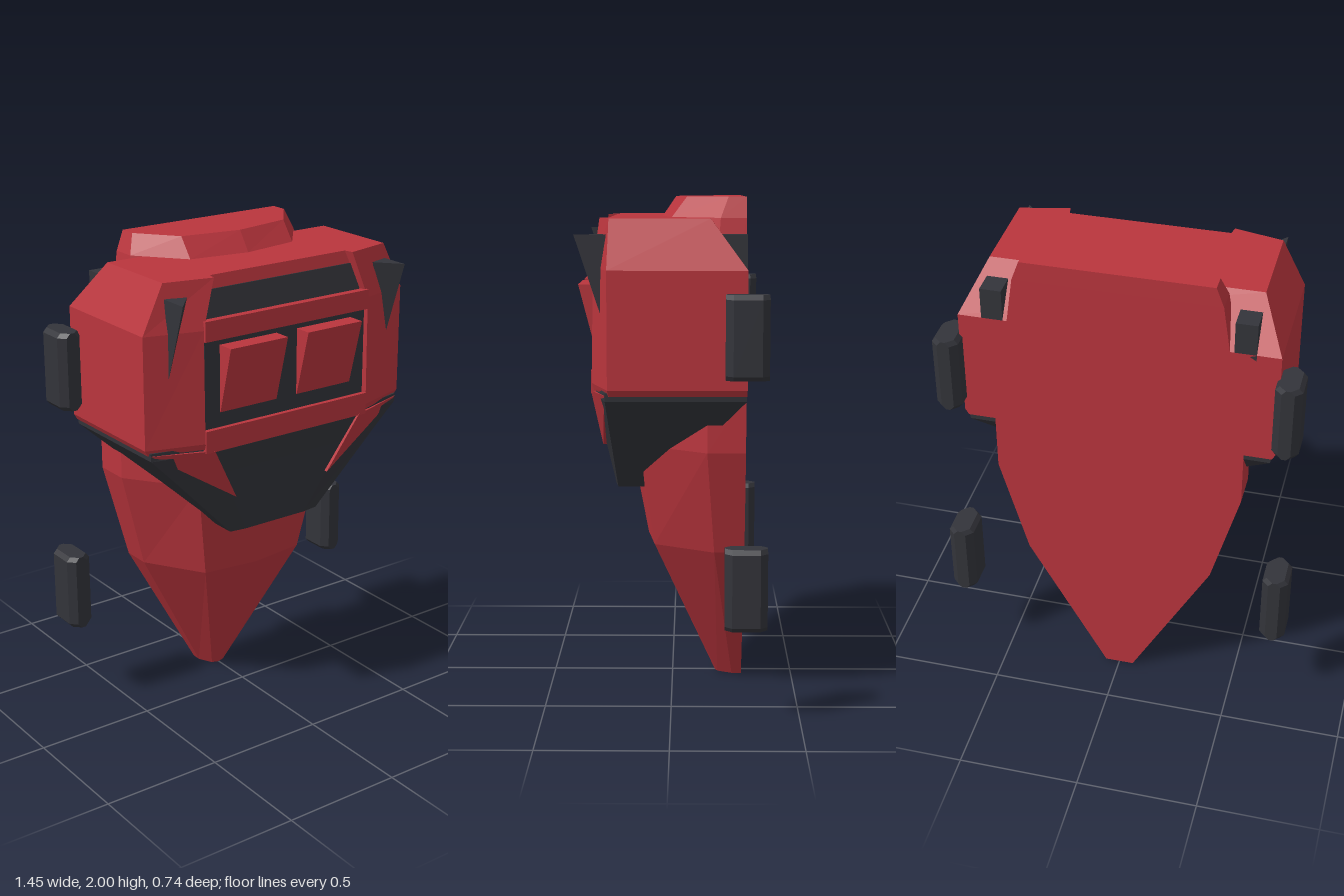
import * as THREE from 'three';

const red = new THREE.MeshStandardMaterial({ color: 0xba353d, flatShading: true });
red.name = 'red shell';
const dark = new THREE.MeshStandardMaterial({ color: 0x33343a, flatShading: true });
dark.name = 'dark grey';

// Solid through horizontal sections { y, pts: [[x, z], ...] }, closed by caps.
// Points run from back +x to the front and round to -x.
function loft(sections) {
  const pos = [];
  const put = (s, i) => pos.push(s.pts[i][0], s.y, s.pts[i][1]);
  const n = sections[0].pts.length;
  for (let k = 0; k < sections.length - 1; k++) {
    const lo = sections[k], hi = sections[k + 1];
    for (let i = 0; i < n; i++) {
      const j = (i + 1) % n;
      put(lo, i); put(hi, i); put(lo, j);
      put(lo, j); put(hi, i); put(hi, j);
    }
  }
  const cap = (s, up) => {
    const contour = s.pts.map(([x, z]) => new THREE.Vector2(x, z));
    for (const [a, b, c] of THREE.ShapeUtils.triangulateShape(contour, [])) {
      const [p, q, r] = [s.pts[a], s.pts[b], s.pts[c]];
      const ny = (q[1] - p[1]) * (r[0] - p[0]) - (q[0] - p[0]) * (r[1] - p[1]);
      const order = (ny > 0) === up ? [a, b, c] : [a, c, b];
      order.forEach((i) => put(s, i));
    }
  };
  cap(sections[0], false);
  cap(sections[sections.length - 1], true);
  const g = new THREE.BufferGeometry();
  g.setAttribute('position', new THREE.Float32BufferAttribute(pos, 3));
  g.computeVertexNormals();
  return g;
}

// Section mirrored in x from its +x half; a point at x = 0 is used once
function mirrored(y, half) {
  const other = half.filter((p) => p[0] > 0).map(([x, z]) => [-x, z]).reverse();
  return { y, pts: [...half, ...other] };
}

// Rectangular section
const rect = (y, x0, x1, z0, z1) => ({ y, pts: [[x1, z0], [x1, z1], [x0, z1], [x0, z0]] });

// Convex prism between a front triangle and the same triangle pushed back
function wedge(front, depth) {
  const back = front.map(([x, y, z]) => [x, y, z - depth]);
  const [a, b, c] = front, [d, e, f] = back;
  const tris = [a, b, c, d, f, e, a, d, b, b, d, e, b, e, c, c, e, f, c, f, a, a, f, d];
  return solid(tris);
}

function solid(corners) {
  const g = new THREE.BufferGeometry();
  g.setAttribute('position', new THREE.Float32BufferAttribute(corners.flat(), 3));
  g.computeVertexNormals();
  return g;
}

export function createModel() {
  const model = new THREE.Group();
  const add = (name, geometry, material) => {
    const mesh = new THREE.Mesh(geometry, material);
    mesh.name = name;
    model.add(mesh);
    return mesh;
  };
  const box = (name, x0, x1, y0, y1, z0, z1, material) =>
    add(name, new THREE.BoxGeometry(x1 - x0, y1 - y0, z1 - z0), material)
      .position.set((x0 + x1) / 2, (y0 + y1) / 2, (z0 + z1) / 2);

  // Tapered spine: y, outer x, its z, inner x, its z, ridge z
  const spine = [
    [0, 0.06, -0.25, 0.03, -0.19, -0.18],
    [0.6, 0.39, -0.17, 0.24, 0.07, 0.1],
    [1.02, 0.505, -0.14, 0.31, 0.13, 0.18],
    [1.25, 0.505, -0.14, 0.31, 0.13, 0.18],
    [1.92, 0.405, -0.19, 0.25, 0.0, 0.04],
    [2, 0.375, -0.22, 0.25, -0.06, -0.015],
  ];
  add('spine', loft(spine.map(([y, w, z1, m, z2, z3]) =>
    mirrored(y, [[w, -0.29], [w, z1], [m, z2], [0, z3]]))), red);

  // Main body with a recessed front: y, side x, back z, side front z, rim x, rim z, recess z
  const body = [
    [1.255, 0.615, -0.29, 0.235, 0.39, 0.305, 0.295],
    [1.28, 0.63, -0.29, 0.24, 0.4, 0.31, 0.29],
    [1.73, 0.63, -0.29, 0.24, 0.4, 0.305, 0.283],
    [1.92, 0.535, -0.15, 0.235, 0.335, 0.28, 0.242],
  ];
  add('body', loft(body.map(([y, w, zb, zf, m, zm, zc]) =>
    mirrored(y, [[w, zb], [w, zf], [m, zm], [m - 0.008, zc]]))), red);

  // Dark lower jaw: y, outer x, back z, outer front z, inner x, inner z
  const jaw = [
    [0.835, 0.22, -0.2, 0.218, 0.15, 0.228],
    [1.13, 0.505, -0.2, 0.242, 0.303, 0.284],
    [1.235, 0.61, -0.288, 0.25, 0.36, 0.305],
    [1.268, 0.612, -0.288, 0.25, 0.36, 0.3],
  ];
  add('jaw', loft(jaw.map(([y, w, zb, zf, m, zm]) =>
    mirrored(y, [[w, zb], [w, zf], [m, zm]]))), dark);

  // Front panels and bars
  add('upperStrip', loft([
    mirrored(1.76, [[0.378, 0.27], [0.378, 0.282]]),
    mirrored(1.87, [[0.345, 0.245], [0.345, 0.257]]),
  ]), dark);
  box('grille', -0.391, 0.391, 1.32, 1.69, 0.284, 0.294, dark);
  box('upperBar', -0.398, 0.398, 1.685, 1.765, 0.26, 0.312, red);
  box('lowerBar', -0.398, 0.398, 1.24, 1.33, 0.26, 0.314, red);

  for (const s of [1, -1]) {
    // Tilted front panel
    const [p0, p1] = s > 0 ? [0.05, 0.32] : [-0.32, -0.05];
    add('frontPanel', loft([
      rect(1.39, p0, p1, 0.28, 0.297),
      rect(1.66, p0, p1, 0.28, 0.367),
    ]), red);

    // Cheek fang over the jaw
    const fang = [[0.612, 1.258, 0.252], [0.36, 1.245, 0.317], [0.23, 1.01, 0.277]]
      .map(([x, y, z]) => [s * x, y, z]);
    add('fang', wedge(s > 0 ? fang : fang.reverse(), 0.05), red);

    // Pointed horn: triangular top narrowing to a tip below
    const [f, i, o, t] = [[0.535, 1.86, 0.368], [0.45, 1.86, 0.27], [0.535, 1.86, 0.24], [0.535, 1.54, 0.262]]
      .map(([x, y, z]) => [s * x, y, z]);
    const faces = [f, o, i, f, i, t, f, t, o, o, t, i];
    add('horn', solid(s > 0 ? faces : faces.reverse()), dark);

    // Tab on the back shoulder
    const [b0, b1] = s > 0 ? [0.45, 0.535] : [-0.535, -0.45];
    box('backTab', b0, b1, 1.68, 1.86, -0.29, -0.19, dark);

    // Bevelled wheel blocks
    for (const [name, yc] of [['upperWheel', 1.485], ['lowerWheel', 0.525]]) {
      const ring = (y, w) => {
        const h = 0.082, c = 0.028;
        return { y, pts: mirrored(y, [[w - c, -h], [w, c - h], [w, h - c], [w - c, h]]).pts };
      };
      const wheel = add(name, loft([
        ring(-0.16, 0.037), ring(-0.142, 0.053), ring(0.142, 0.053), ring(0.16, 0.037),
      ]), dark);
      wheel.position.set(s * 0.671, yc, -0.288);
    }
  }
  return model;
}
